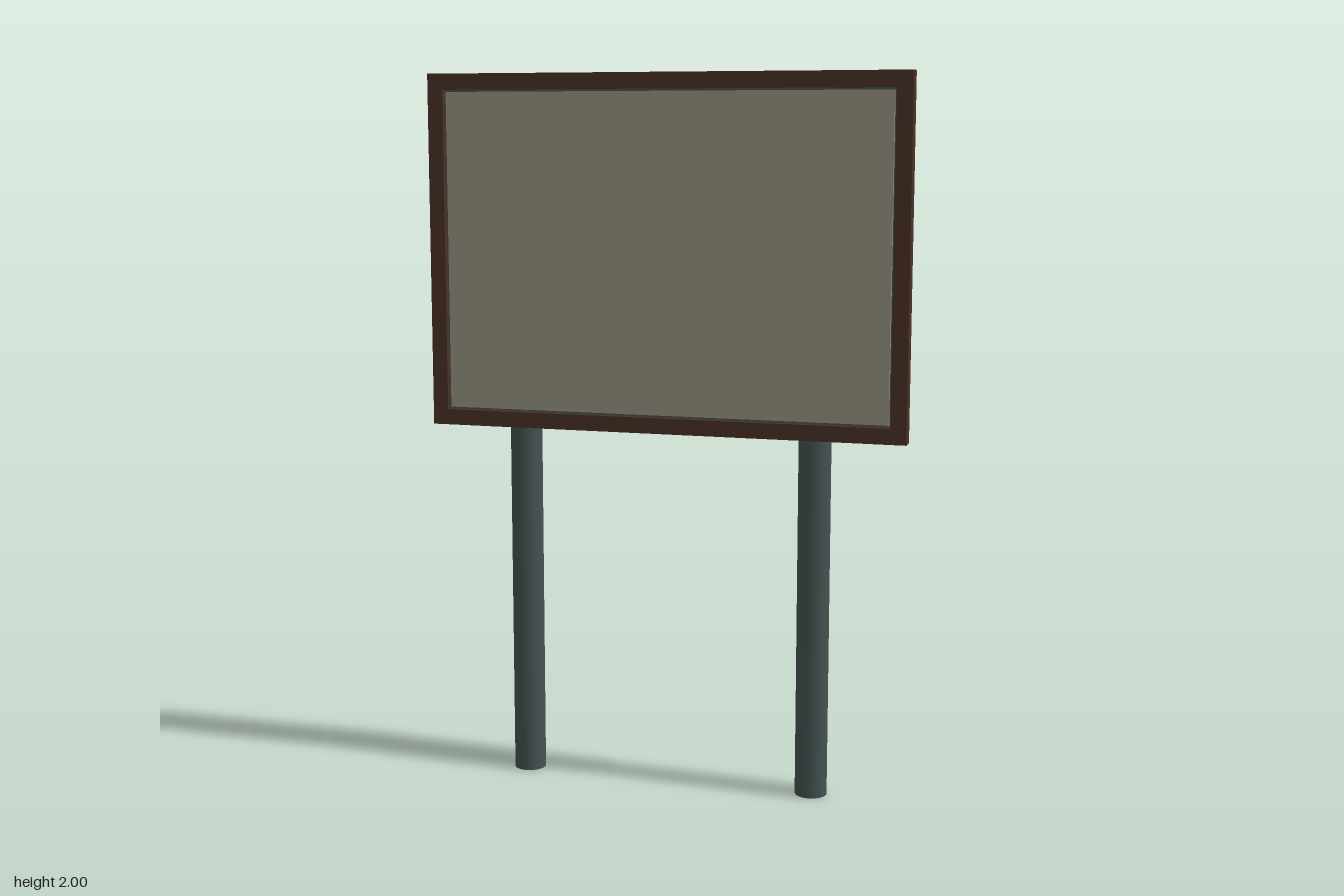
import * as THREE from 'three';

function material(name, color) {
  const m = new THREE.MeshStandardMaterial({ color });
  m.name = name;
  return m;
}

function rectangle(path, x, y0, y1) {
  path.moveTo(-x, y0);
  path.lineTo(x, y0);
  path.lineTo(x, y1);
  path.lineTo(-x, y1);
  path.closePath();
  return path;
}

export function createModel() {
  const group = new THREE.Group();
  group.name = 'signBoard';
  const steel = material('dark grey green', 0x455151);
  const wood = material('dark brown', 0x4a3026);
  const face = material('warm grey', 0x979380);

  const add = (name, geometry, mat, x, y, z) => {
    const mesh = new THREE.Mesh(geometry, mat);
    mesh.name = name;
    mesh.position.set(x, y, z);
    group.add(mesh);
  };

  // Backing box, reaching forward inside the frame
  add('backing', new THREE.BoxGeometry(1.316, 0.943, 0.08), steel, 0, 1.508, -0.007);

  // Frame with a rectangular opening
  const outline = rectangle(new THREE.Shape(), 0.68, 1.015, 2);
  outline.holes.push(rectangle(new THREE.Path(), 0.636, 1.059, 1.956));
  const frame = new THREE.ExtrudeGeometry(outline, { depth: 0.045, bevelEnabled: false });
  add('frame', frame, wood, 0, 0, 0.007);

  // Display panel, with a narrow gap to the frame
  add('displayPanel', new THREE.BoxGeometry(1.26, 0.885, 0.009), face, 0, 1.5075, 0.0375);

  // Posts, rising halfway up the backing and just showing behind it
  for (const [name, side] of [['leftPost', 1], ['rightPost', -1]]) {
    add(name, new THREE.CylinderGeometry(0.045, 0.045, 1.505, 24), steel, side * 0.42, 0.7525, -0.007);
  }
  return group;
}
